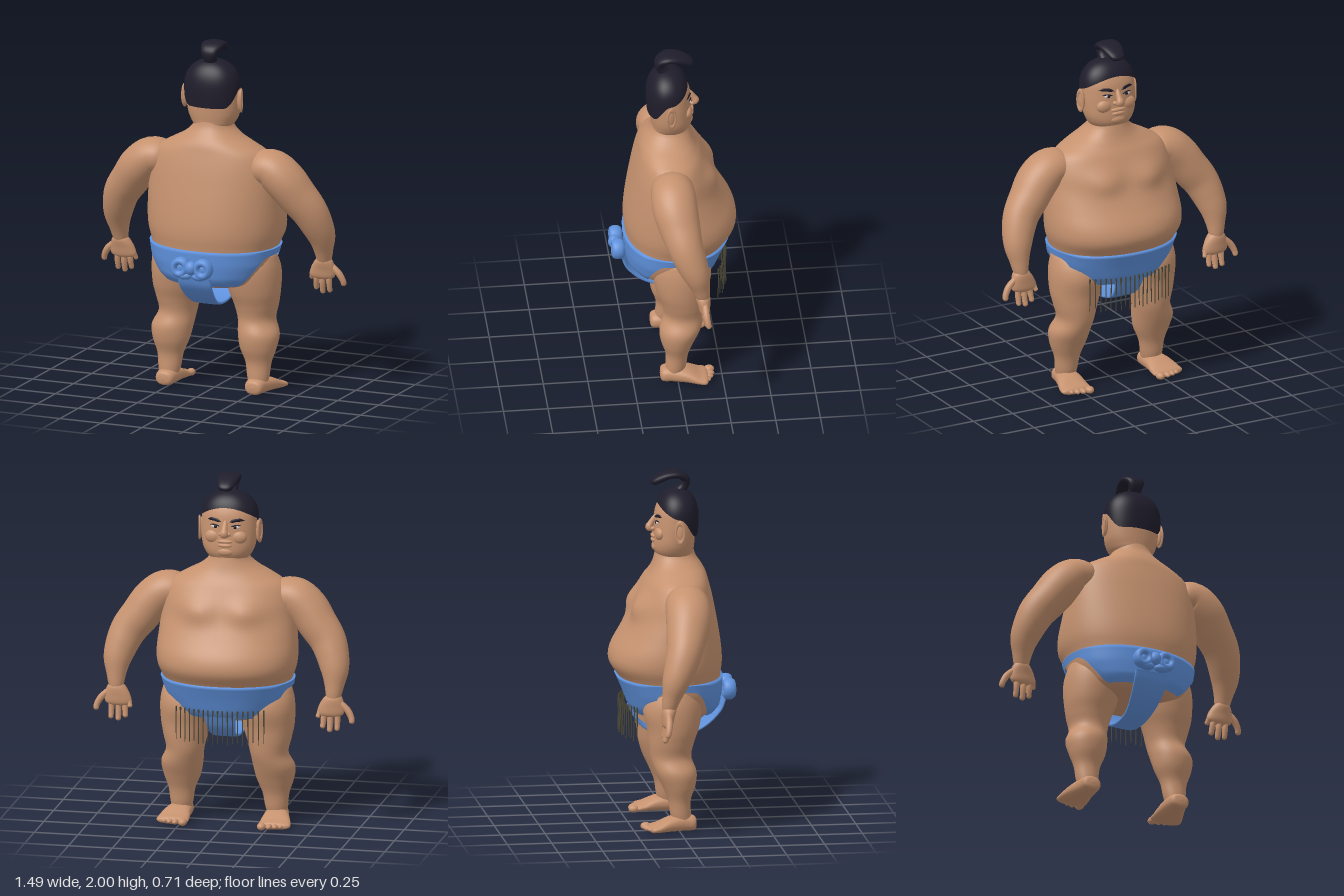
import * as THREE from 'three';

const V = (x, y, z) => new THREE.Vector3(x, y, z);
const X = V(1, 0, 0), Z = V(0, 0, 1), UP = V(0, 1, 0);
const mat = (name, color, side = THREE.FrontSide) =>
  Object.assign(new THREE.MeshStandardMaterial({ color, side }), { name });

// Smooth closed skin: fn(angle, t) gives the point on row t at that angle
function grid(nu, nv, fn) {
  const pos = [], idx = [];
  for (let j = 0; j <= nv; j++) {
    for (let i = 0; i < nu; i++) pos.push(...fn((i / nu) * Math.PI * 2, j / nv).toArray());
  }
  for (let j = 0; j < nv; j++) {
    for (let i = 0; i < nu; i++) {
      const a = j * nu + i, b = j * nu + ((i + 1) % nu);
      idx.push(a, b, a + nu, b, b + nu, a + nu);
    }
  }
  const g = new THREE.BufferGeometry();
  g.setAttribute('position', new THREE.Float32BufferAttribute(pos, 3));
  g.setIndex(idx);
  g.computeVertexNormals();
  return g;
}

const sp = (c, n) => Math.sign(c) * Math.abs(c) ** (2 / n);

// Loft along rows of [x, y, z, radius along side, radius across]
function loft(rows, { side = X, axis = null, n = 2, nu = 28, warp = null } = {}) {
  const path = new THREE.CatmullRomCurve3(rows.map(r => V(r[0], r[1], r[2])), false, 'catmullrom');
  const size = new THREE.CatmullRomCurve3(rows.map(r => V(r[3], r[4] ?? r[3], 0)), false, 'catmullrom');
  return grid(nu, (rows.length - 1) * 5, (a, t) => {
    const p = path.getPoint(t), r = size.getPoint(t);
    const tan = axis ?? path.getTangent(t);
    const u = side.clone().addScaledVector(tan, -side.dot(tan)).normalize();
    const v = tan.clone().cross(u);
    p.addScaledVector(u, sp(Math.cos(a), n) * Math.max(r.x, 0));
    p.addScaledVector(v, sp(Math.sin(a), n) * Math.max(r.y, 0));
    if (warp) warp(p);
    return p;
  });
}

// Body profiles as [y, half width, back z, face-side z]
const toRows = prof => prof.map(([y, w, b, f]) => [0, y, (b + f) / 2, w, (b - f) / 2]);
const TORSO = [
  [0.6, 0, 0, 0], [0.615, 0.18, 0.15, -0.14], [0.64, 0.265, 0.22, -0.205], [0.68, 0.305, 0.25, -0.235],
  [0.76, 0.345, 0.262, -0.265], [0.84, 0.362, 0.266, -0.3], [0.92, 0.39, 0.275, -0.35],
  [1.0, 0.397, 0.272, -0.342], [1.1, 0.39, 0.258, -0.285], [1.2, 0.378, 0.24, -0.23],
  [1.3, 0.362, 0.22, -0.195], [1.38, 0.325, 0.2, -0.16], [1.43, 0.245, 0.186, -0.13],
  [1.47, 0.17, 0.165, -0.112], [1.52, 0.115, 0.132, -0.098], [1.58, 0.1, 0.115, -0.085],
];
const HEAD = [
  [1.5, 0.08, 0.1, -0.07], [1.53, 0.115, 0.118, -0.09], [1.56, 0.135, 0.122, -0.105],
  [1.6, 0.15, 0.126, -0.108], [1.66, 0.156, 0.13, -0.104], [1.72, 0.156, 0.132, -0.1],
  [1.78, 0.15, 0.13, -0.092], [1.83, 0.125, 0.11, -0.07], [1.865, 0.08, 0.07, -0.04], [1.88, 0, 0.02, 0.02],
];
function profileAt(prof, y) {
  let i = 0;
  while (i < prof.length - 2 && prof[i + 1][0] < y) i++;
  const A = prof[i], B = prof[i + 1], k = (y - A[0]) / (B[0] - A[0]);
  return A.map((a, c) => a + (B[c] - a) * k);
}
// z of the face at a given x, y
function faceZ(x, y) {
  const [, w, b, f] = profileAt(HEAD, y);
  return (b + f) / 2 - ((b - f) / 2) * Math.sqrt(Math.max(0, 1 - (x / w) ** 2));
}
// Chest and a shallow cleft between the two sides
function chest(p) {
  if (p.z > 0) return;
  p.z -= 0.035 * Math.exp(-(((Math.abs(p.x) - 0.14) / 0.1) ** 2) - ((p.y - 1.25) / 0.07) ** 2);
}

export function createModel() {
  const root = new THREE.Group();
  root.name = 'wrestler';
  const skin = mat('skin', 0xc6926f), blue = mat('blue cloth', 0x5f91dc, THREE.DoubleSide);
  const hair = mat('black hair', 0x1f1d2b), cord = mat('fringe cord', 0x4b4938), white = mat('eye white', 0xd8d0c8);

  const add = (name, geo, m, parent = root) => {
    const mesh = new THREE.Mesh(geo, m);
    mesh.name = name;
    parent.add(mesh);
    return mesh;
  };
  const ball = (name, m, p, s, parent) => {
    const mesh = add(name, new THREE.SphereGeometry(1, 20, 14), m, parent);
    mesh.position.set(...p);
    mesh.scale.set(...s);
    return mesh;
  };

  add('torso', loft(toRows(TORSO), { axis: UP, n: 2.15, nu: 64, warp: chest }), skin);
  add('head', loft(toRows(HEAD), { axis: UP, n: 2.1, nu: 40 }), skin);

  // Face
  add('nose', loft([
    [0, 1.75, -0.09, 0.008], [0, 1.73, -0.1, 0.014], [0, 1.7, -0.118, 0.018],
    [0, 1.68, -0.128, 0.024, 0.021], [0, 1.665, -0.115, 0.02, 0.012], [0, 1.66, -0.105, 0],
  ]), skin);
  ball('upperLip', skin, [0, 1.633, -0.103], [0.045, 0.012, 0.016]);
  ball('lowerLip', skin, [0, 1.61, -0.104], [0.04, 0.012, 0.014]);
  ball('chin', skin, [0, 1.572, -0.092], [0.05, 0.026, 0.022]);

  for (const s of [-1, 1]) {
    const tag = s > 0 ? 'left' : 'right';
    ball(tag + 'Nostril', skin, [s * 0.022, 1.675, -0.108], [0.014, 0.012, 0.014]);
    ball(tag + 'Cheek', skin, [s * 0.07, 1.655, -0.075], [0.05, 0.04, 0.03]);
    const eyeZ = faceZ(0.058, 1.715);
    ball(tag + 'Eye', white, [s * 0.058, 1.715, eyeZ], [0.024, 0.009, 0.006]);
    ball(tag + 'Pupil', hair, [s * 0.056, 1.715, eyeZ - 0.003], [0.01, 0.009, 0.006]);
    // Brow and upper lash follow the curve of the face
    const strip = (x0, x1, y, rise, r) => [0, 0.25, 0.5, 0.75, 1].map(k => {
      const x = x0 + (x1 - x0) * k, yy = y + rise * Math.sin(k * 2.4);
      return [s * x, yy, faceZ(x, yy) - 0.001, k === 0 || k === 1 ? 0 : r, 0.005];
    });
    add(tag + 'Brow', loft(strip(0.022, 0.105, 1.742, 0.012, 0.009), { side: UP, nu: 10 }), hair);
    add(tag + 'Lash', loft(strip(0.03, 0.088, 1.717, 0.008, 0.004), { side: UP, nu: 8 }), hair);

    // Ear with a raised rim
    const ear = new THREE.Group();
    ear.name = tag + 'Ear';
    ear.position.set(s * 0.163, 1.675, 0.025);
    ear.rotation.y = s * 0.25;
    root.add(ear);
    ball('earBody', skin, [0, 0, 0], [0.014, 0.06, 0.026], ear);
    const rim = add('earRim', new THREE.TorusGeometry(0.024, 0.007, 8, 24), skin, ear);
    rim.rotation.y = Math.PI / 2;
    rim.scale.set(1, 2.3, 1);
    rim.position.x = s * 0.009;

    // Arm
    add(tag + 'Arm', loft([
      [s * 0.24, 1.3, 0.03, 0], [s * 0.28, 1.305, 0.035, 0.1, 0.085], [s * 0.365, 1.305, 0.035, 0.123, 0.108],
      [s * 0.44, 1.245, 0.03, 0.126, 0.115], [s * 0.505, 1.16, 0.01, 0.115, 0.11],
      [s * 0.565, 1.08, -0.012, 0.1, 0.103], [s * 0.6, 1.0, -0.04, 0.09, 0.093],
      [s * 0.62, 0.92, -0.07, 0.075, 0.079], [s * 0.622, 0.84, -0.092, 0.054, 0.056],
      [s * 0.62, 0.78, -0.105, 0.041, 0.043], [s * 0.618, 0.74, -0.108, 0.03],
    ], { side: Z, nu: 36 }), skin);

    // Hand: palm, four fingers and an outward thumb
    const hand = new THREE.Group();
    hand.name = tag + 'Hand';
    root.add(hand);
    add('palm', loft([
      [s * 0.62, 0.8, -0.103, 0.02], [s * 0.618, 0.77, -0.106, 0.052, 0.04], [s * 0.61, 0.72, -0.112, 0.073, 0.035],
      [s * 0.604, 0.675, -0.115, 0.07, 0.027], [s * 0.604, 0.655, -0.116, 0],
    ], { axis: V(0, -1, 0) }), skin, hand);
    const digits = [
      [0.552, 0.71, 0.533, 0.655, 0.015], [0.57, 0.69, 0.562, 0.595, 0.017], [0.605, 0.68, 0.603, 0.575, 0.018],
      [0.645, 0.69, 0.645, 0.585, 0.017], [0.66, 0.745, 0.73, 0.63, 0.019],
    ];
    digits.forEach(([x0, y0, x1, y1, r], i) => {
      const at = (k, q) => [s * (x0 + (x1 - x0) * k + (i === 4 ? 0.02 * Math.sin(k * 3.1) : 0)),
        y0 + (y1 - y0) * k, -0.114 - 0.018 * k * k, r * q];
      add(i === 4 ? 'thumb' : 'finger', loft([at(0, 0.9), at(0.35, 1), at(0.7, 0.9), at(0.93, 0.75), at(1, 0)],
        { side: Z, nu: 14 }), skin, hand);
    });

    // Leg
    add(tag + 'Leg', loft([
      [s * 0.22, 0.84, 0, 0], [s * 0.22, 0.815, -0.01, 0.12, 0.1], [s * 0.218, 0.76, -0.02, 0.152, 0.15],
      [s * 0.222, 0.68, -0.028, 0.16, 0.165], [s * 0.232, 0.58, -0.028, 0.146, 0.145],
      [s * 0.238, 0.5, -0.038, 0.125, 0.127], [s * 0.24, 0.42, -0.04, 0.107, 0.114],
      [s * 0.262, 0.34, -0.015, 0.118, 0.115], [s * 0.265, 0.26, 0, 0.105, 0.093],
      [s * 0.268, 0.18, 0.003, 0.076, 0.064], [s * 0.27, 0.1, 0.01, 0.064, 0.058], [s * 0.272, 0.04, 0.02, 0.05],
    ], { axis: V(0, -1, 0), nu: 36 }), skin);

    // Foot with toes
    const foot = new THREE.Group();
    foot.name = tag + 'Foot';
    root.add(foot);
    add('sole', loft([
      [s * 0.272, 0.046, 0.1, 0], [s * 0.272, 0.046, 0.088, 0.048, 0.038], [s * 0.272, 0.05, 0.03, 0.062, 0.046],
      [s * 0.282, 0.046, -0.05, 0.076, 0.042], [s * 0.29, 0.03, -0.12, 0.089, 0.026],
      [s * 0.29, 0.025, -0.16, 0.082, 0.019], [s * 0.29, 0.022, -0.175, 0],
    ], { axis: V(0, 0, -1), n: 2.3 }), skin, foot);
    [0.225, 0.267, 0.3, 0.331, 0.359].forEach((x, i) => {
      const r = i ? 0.019 - i * 0.001 : 0.025;
      ball('toe', skin, [s * x, 0.025, -0.18 + i * i * 0.003], [r, r * 0.85, 0.03], foot);
    });
  }

  // Hair cap: low at the nape, lifted over the ears and forehead
  add('hair', grid(56, 20, (a, t) => {
    const sn = Math.sin(a), k = Math.min(1, -sn * 1.3);
    const low = sn > 0 ? 1.745 + 0.075 * sn ** 1.5 : 1.745 - 0.105 * k * k * (3 - 2 * k);
    const y = low + (1.902 - low) * Math.sin(t * Math.PI / 2);
    const h = (y - 1.74) / 0.162;
    const f = h > 0 ? Math.max(0, 1 - h ** 2.3) ** (1 / 2.1) : 1 - 0.13 * h * h;
    return V(0.164 * f * sp(Math.cos(a), 2.15), y, 0.027 - 0.122 * f * sp(sn, 2.15));
  }), hair);
  // Topknot folded forward
  add('topknot', loft([
    [0, 1.87, 0.03, 0.04, 0.03], [0, 1.91, 0.066, 0.038, 0.027], [0, 1.95, 0.075, 0.05, 0.024],
    [0, 1.977, 0.035, 0.064, 0.022], [0, 1.975, -0.02, 0.062, 0.023], [0, 1.955, -0.07, 0.052, 0.024],
    [0, 1.935, -0.105, 0.036, 0.018], [0, 1.925, -0.115, 0],
  ], { n: 2.4 }), hair);

  // Belt: deep panels front and back, a narrow band over the hips
  add('belt', grid(96, 12, (a, t) => {
    const cx = Math.abs(sp(Math.cos(a), 2.15));
    const k = THREE.MathUtils.smoothstep(cx, 0.76, 0.98);
    const y = 0.64 + 0.165 * k + (0.845 - 0.64 - 0.165 * k) * Math.min(1, t * 12 / 11);
    const [, w, b, f] = profileAt(TORSO, y);
    const out = t > 0.95 ? -0.02 : 0.014;
    return V((w + out) * sp(Math.cos(a), 2.15), y, (b + f) / 2 - ((b - f) / 2 + out) * sp(Math.sin(a), 2.15));
  }), blue);
  // Strap passing between the legs
  add('strap', loft([
    [0, 0.7, 0.285, 0.1, 0.009], [0, 0.64, 0.26, 0.098, 0.009], [0, 0.565, 0.19, 0.088, 0.009],
    [0, 0.515, 0.1, 0.075, 0.009], [0, 0.505, -0.02, 0.07, 0.009], [0, 0.535, -0.13, 0.07, 0.009],
    [0, 0.585, -0.195, 0.08, 0.009], [0, 0.66, -0.235, 0.09, 0.009],
  ], { n: 5 }), blue);

  // Bow at the back
  const bow = new THREE.Group();
  bow.name = 'bow';
  bow.position.set(0, 0.757, 0.305);
  root.add(bow);
  ball('knot', blue, [0, 0.005, 0.02], [0.036, 0.04, 0.036], bow);
  for (const s of [-1, 1]) {
    const loop = add('bowLoop', new THREE.TorusGeometry(0.036, 0.021, 12, 28), blue, bow);
    loop.position.set(s * 0.068, 0.002, 0.008);
    loop.rotation.z = s * 0.45;
    loop.scale.set(1, 1.05, 1.7);
    ball('loopFill', blue, [s * 0.068, 0, 0], [0.04, 0.04, 0.025], bow);
    ball('bowEnd', blue, [s * 0.045, -0.042, 0.01], [0.045, 0.024, 0.03], bow);
  }

  // Hanging fringe along the front of the belt
  const fringe = new THREE.Group();
  fringe.name = 'fringe';
  root.add(fringe);
  for (let i = 0; i <= 18; i++) {
    const x = -0.25 + (0.5 * i) / 18, z = -0.295 + 1.02 * x * x;
    const strand = add('strand', new THREE.CylinderGeometry(0.0035, 0.0025, 0.18, 6), cord, fringe);
    strand.position.set(x, 0.605 - 0.01 * Math.sin(i * 2.1), z);
    strand.rotation.x = 0.04 * Math.sin(i * 1.7);
    const tip = add('strandTop', new THREE.CylinderGeometry(0.005, 0.004, 0.03, 6), cord, fringe);
    tip.position.set(x, 0.69, z);
  }
  return root;
}
